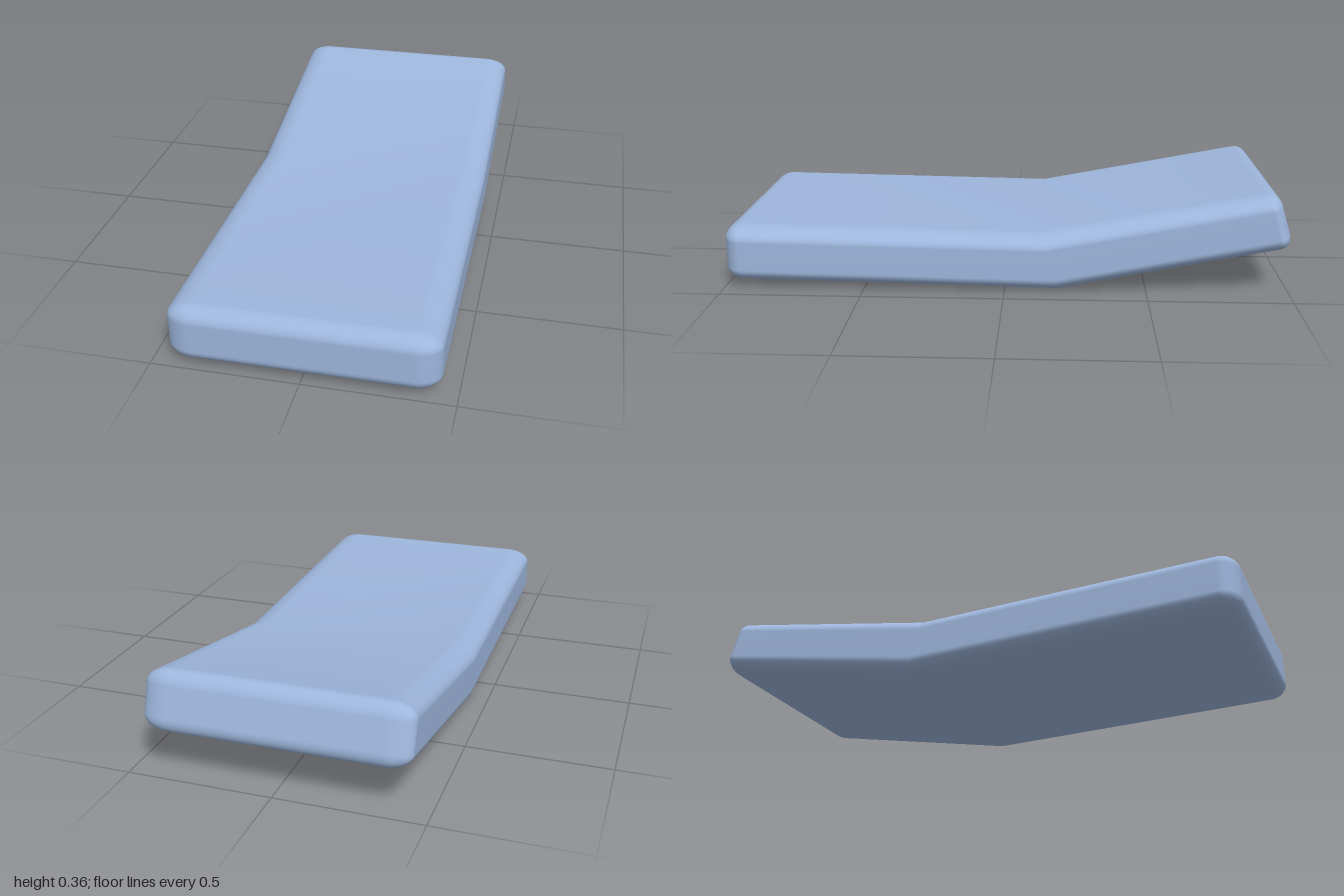
import * as THREE from 'three';
import { mergeVertices } from 'three/addons/utils/BufferGeometryUtils.js';

const HALF_WIDTH = 0.447;
const STEPS = 6; // rings in each rounded edge
const RADIUS = [0.2, 0.5, 0.055]; // rounding of x, y, z as a share of the half size

// Side profile as [z, y] at the front end, the bend and the raised back end
const BOTTOM = { front: [1, 0.02], bend: [-0.19, 0], back: [-1.01, 0.166] };
const TOP = { front: [1, 0.223], bend: [-0.13, 0.205], back: [-0.95, 0.363] };

// Point along one profile line, s from -1 (back) to 1 (front)
function along(line, s) {
  const end = s > 0 ? line.front : line.back;
  const t = Math.abs(s);
  return line.bend.map((v, i) => v + (end[i] - v) * t);
}

// Splits a grid coordinate into its flat part and its place within the rounded edge (0..1)
function split(p, segments, r) {
  const fromEdge = Math.round((1 - Math.abs(p)) / 2 * segments);
  if (fromEdge >= STEPS) {
    const middle = Math.abs(p) < 1e-6 ? 0 : 1 - r;
    return [Math.sign(p) * middle, 0];
  }
  const corner = Math.tan((1 - fromEdge / STEPS) * Math.PI / 4);
  return [Math.sign(p) * (1 - r), Math.sign(p) * corner];
}

// Rounded slab, bent once across its length
function bentSlab() {
  const segments = [2 * STEPS + 1, 2 * STEPS + 1, 2 * STEPS + 2];
  let geometry = new THREE.BoxGeometry(2, 2, 2, ...segments);
  geometry.deleteAttribute('normal');
  geometry.deleteAttribute('uv');
  geometry.clearGroups();
  const pos = geometry.attributes.position;
  for (let i = 0; i < pos.count; i++) {
    const parts = [pos.getX(i), pos.getY(i), pos.getZ(i)]
      .map((p, a) => split(p, segments[a], RADIUS[a]));
    const length = Math.hypot(...parts.map((p) => p[1]));
    const [x, y, s] = parts.map((p, a) => p[0] + p[1] / length * RADIUS[a]);
    const low = along(BOTTOM, s);
    const high = along(TOP, s);
    const t = (y + 1) / 2;
    pos.setXYZ(i, x * HALF_WIDTH, low[1] + (high[1] - low[1]) * t, low[0] + (high[0] - low[0]) * t);
  }
  geometry = mergeVertices(geometry, 1e-5);
  geometry.computeVertexNormals();
  return geometry;
}

export function createModel() {
  const group = new THREE.Group();
  group.name = 'bentCushion';
  const blue = new THREE.MeshStandardMaterial({ color: 0x9db6dc });
  blue.name = 'softBlue';
  const cushion = new THREE.Mesh(bentSlab(), blue);
  cushion.name = 'cushion';
  group.add(cushion);
  return group;
}
